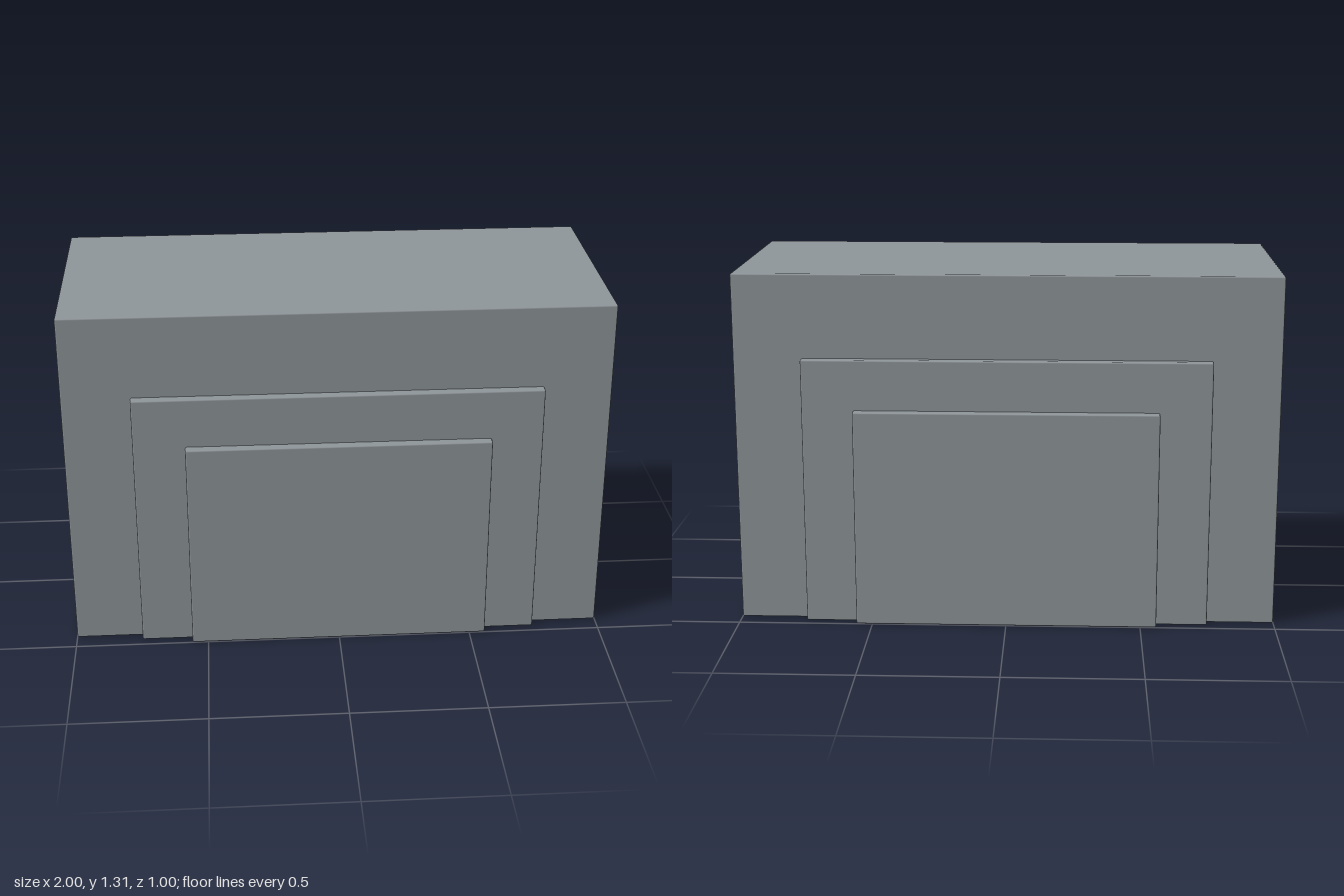
import * as THREE from 'three';
import { RoundedBoxGeometry } from 'three/addons/geometries/RoundedBoxGeometry.js';

const BEVEL = 0.006;

export function createModel() {
  const model = new THREE.Group();
  const stone = new THREE.MeshStandardMaterial({ color: 0x8e9599 });
  stone.name = 'stone grey';

  // Box with finely bevelled edges, standing on y = 0
  function block(name, width, height, depth) {
    const geometry = new RoundedBoxGeometry(width, height, depth, 1, BEVEL);
    const mesh = new THREE.Mesh(geometry, stone);
    mesh.name = name;
    mesh.position.y = height / 2;
    model.add(mesh);
  }

  // Main body, with two stepped slabs running through it to front and back
  block('body', 2, 1.31, 0.87);
  block('outerStep', 1.5, 1.0, 0.935);
  block('innerStep', 1.12, 0.813, 1.0);

  return model;
}
